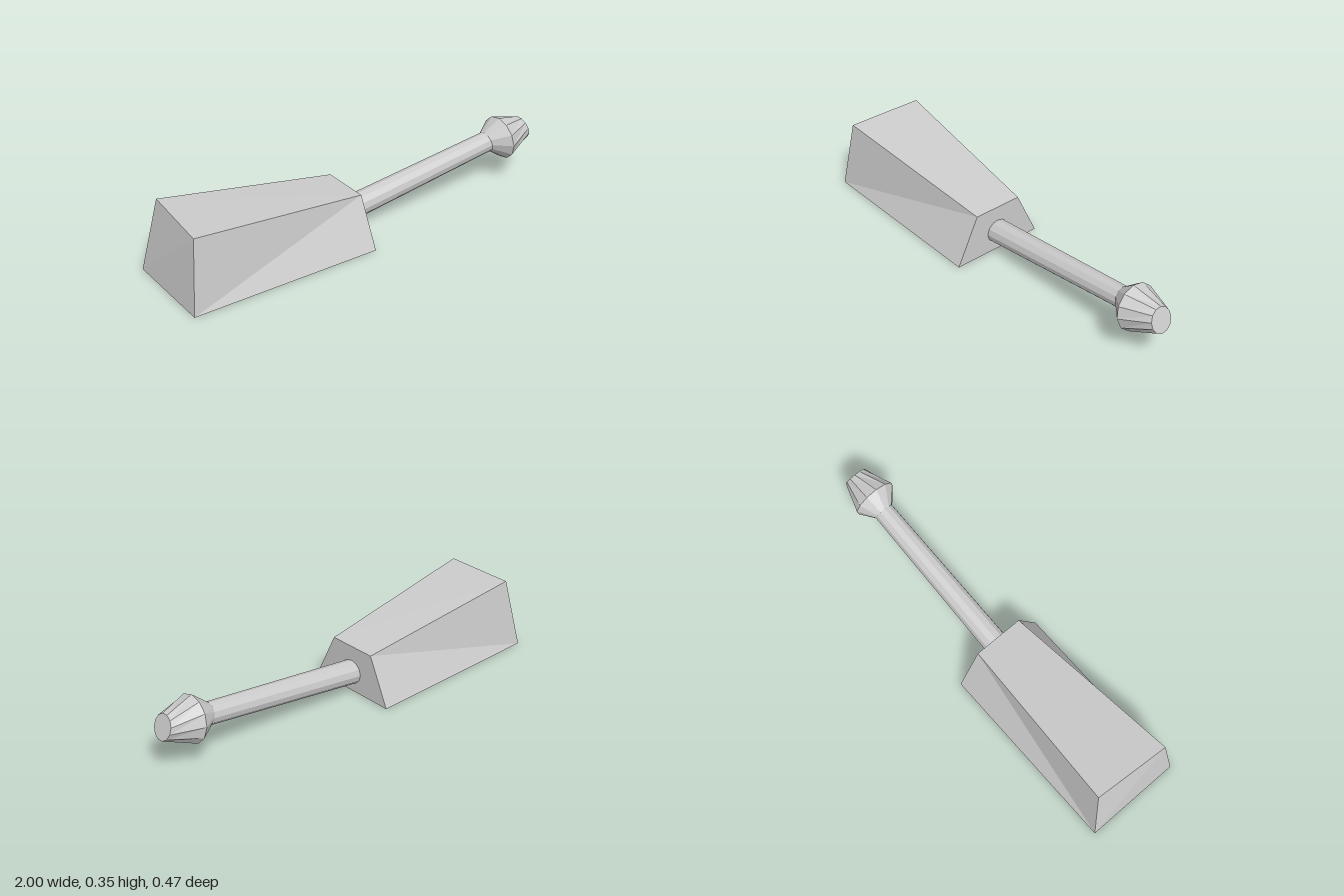
import * as THREE from 'three';

const material = new THREE.MeshStandardMaterial({ color: 0xcccccc, flatShading: true });
const SIDES = 12;

function makeMesh(name, positions, index) {
  const indexed = new THREE.BufferGeometry();
  indexed.setAttribute('position', new THREE.Float32BufferAttribute(positions, 3));
  indexed.setIndex(index);
  const geometry = indexed.toNonIndexed();
  geometry.computeVertexNormals();
  const mesh = new THREE.Mesh(geometry, material);
  mesh.name = name;
  return mesh;
}

// Joins twelve-sided rings running along +x; the last may be closed with a cap
function loft(name, rings, capped) {
  const positions = [], index = [];
  for (const { x, y, z, r, tilt, twist } of rings) {
    for (let i = 0; i < SIDES; i++) {
      const a = (i / SIDES) * Math.PI * 2 + twist;
      const dy = r * Math.cos(a);
      positions.push(x - tilt * dy, y + dy, z - r * Math.sin(a));
    }
  }
  for (let s = 0; s < rings.length - 1; s++) {
    for (let i = 0; i < SIDES; i++) {
      const j = (i + 1) % SIDES;
      const a = s * SIDES + i, b = s * SIDES + j;
      const c = a + SIDES, d = b + SIDES;
      index.push(a, c, d, a, d, b);
    }
  }
  if (capped) {
    const start = (rings.length - 1) * SIDES;
    for (let i = 1; i < SIDES - 1; i++) index.push(start, start + i + 1, start + i);
  }
  return makeMesh(name, positions, index);
}

export function createModel() {
  const group = new THREE.Group();
  group.name = 'model';

  // Tapered block: four bottom corners, then four top corners
  const corners = [
    [-1, 0, 0.233], [-1, 0, -0.233], [-0.075, 0, -0.233], [-0.075, 0, 0.233],
    [-0.955, 0.338, 0.185], [-0.93, 0.35, -0.185], [-0.075, 0.233, -0.125], [-0.075, 0.233, 0.12],
  ];
  const faces = [
    0, 3, 7, 0, 7, 4, // front
    2, 1, 6, 1, 5, 6, // back
    4, 7, 5, 7, 6, 5, // top
    0, 1, 2, 0, 2, 3, // bottom
    0, 4, 1, 4, 5, 1, // wide end
    3, 2, 6, 3, 6, 7, // narrow end
  ];
  group.add(makeMesh('body', corners.flat(), faces));

  // Rising shaft and its flared, slightly twisted tip
  const root = { x: -0.075, y: 0.101, z: -0.001, r: 0.059, tilt: 0, twist: 0 };
  const neck = { x: 0.755, y: 0.217, z: 0.005, r: 0.05, tilt: 0.25, twist: 0 };
  const flare = { x: 0.833, y: 0.222, z: 0.014, r: 0.109, tilt: 0.14, twist: -0.06 };
  const end = { x: 0.978, y: 0.242, z: 0.013, r: 0.056, tilt: 0.35, twist: 0.2 };
  group.add(loft('shaft', [root, neck], false));
  group.add(loft('tip', [neck, flare, end], true));

  return group;
}
